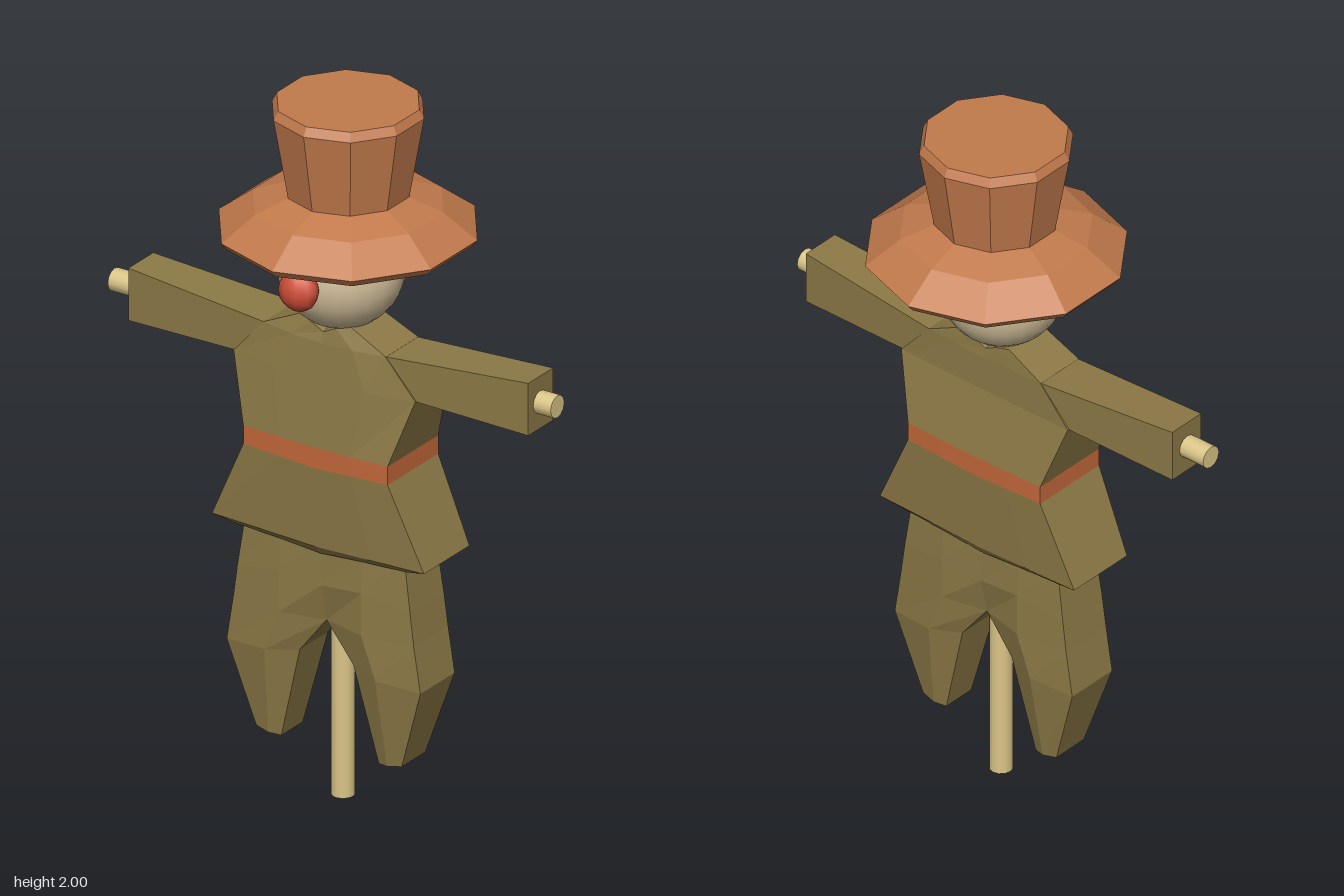
import * as THREE from 'three';

const mat = (name, color) => {
  const m = new THREE.MeshStandardMaterial({ color });
  m.name = name;
  return m;
};

// Flat-faced skin over a stack of rings ([x, y, z] points, counterclockwise seen from the last ring)
function loft(rings, capStart = true, capEnd = true) {
  const pos = [];
  const n = rings[0].length;
  const tri = (...pts) => pts.forEach((p) => pos.push(...p));
  for (let i = 0; i < rings.length - 1; i++) {
    for (let j = 0; j < n; j++) {
      const k = (j + 1) % n;
      const [a, b, c, d] = [rings[i][j], rings[i][k], rings[i + 1][k], rings[i + 1][j]];
      tri(a, b, c);
      tri(a, c, d);
    }
  }
  const cap = (ring, flip) => {
    const mid = [0, 1, 2].map((q) => ring.reduce((s, p) => s + p[q], 0) / n);
    ring.forEach((p, j) => {
      const next = ring[(j + 1) % n];
      if (flip) tri(mid, next, p);
      else tri(mid, p, next);
    });
  };
  if (capStart) cap(rings[0], true);
  if (capEnd) cap(rings[rings.length - 1], false);
  const g = new THREE.BufferGeometry();
  g.setAttribute('position', new THREE.Float32BufferAttribute(pos, 3));
  g.computeVertexNormals();
  return g;
}

// Mirror rings to the -x side, keeping the faces outward
const mirror = (rings) => rings.map((r) => r.map(([x, y, z]) => [-x, y, z]).reverse());

// Coat cross-section: half width, height at side and middle, depth at corners, front and back
function coatRing(w, ySide, yMid, zSide, zFront, zBack) {
  const yHalf = (ySide * 2 + yMid) / 3;
  return [
    [-w, ySide, zSide], [-w / 2, yHalf, zFront], [0, yMid, zFront], [w / 2, yHalf, zFront], [w, ySide, zSide],
    [w, ySide, -zSide], [w / 2, yHalf, -zBack], [0, yMid, -zBack], [-w / 2, yHalf, -zBack], [-w, ySide, -zSide],
  ];
}

// Trouser leg cross-section from inner, middle and outer [x, y, half depth]
function legRing(inner, mid, outer) {
  const front = [inner, mid, outer];
  return [
    ...front.map(([x, y, z]) => [x, y, z]),
    ...front.reverse().map(([x, y, z]) => [x, y, -z]),
  ];
}

const sleeveRing = (x, y0, y1, z) => [[x, y0, z], [x, y0, -z], [x, y1, -z], [x, y1, z]];

export function createModel() {
  const cloth = mat('olive cloth', 0x8c7946);
  const felt = mat('brown felt', 0xc27a4c);
  const belt = mat('orange belt', 0xc3683a);
  const wood = mat('pale wood', 0xdcc688);
  const sack = mat('sackcloth', 0xd4c19c);
  const red = mat('red nose', 0xcf4f38);

  const model = new THREE.Group();
  model.name = 'scarecrow';
  const clothes = new THREE.Group();
  clothes.name = 'clothes';
  clothes.position.set(0.01, 0, 0.012);
  model.add(clothes);

  const add = (name, geometry, material, parent = model) => {
    const m = new THREE.Mesh(geometry, material);
    m.name = name;
    parent.add(m);
    return m;
  };

  // Wooden cross
  add('pole', new THREE.CylinderGeometry(0.032, 0.032, 1.3, 12), wood).position.set(0.013, 0.65, 0.006);
  const bar = add('crossbar', new THREE.CylinderGeometry(0.032, 0.032, 1.4, 12), wood);
  bar.rotation.z = Math.PI / 2;
  bar.position.set(-0.003, 1.3, 0.015);

  // Coat: skirt, belt band and chest share their rings
  const waistLow = coatRing(0.228, 0.997, 0.988, 0.118, 0.123, 0.12);
  const waistHigh = coatRing(0.228, 1.05, 1.048, 0.118, 0.123, 0.12);
  add('coatSkirt', loft([
    coatRing(0.267, 0.745, 0.73, 0.09, 0.092, 0.092),
    coatRing(0.335, 0.764, 0.755, 0.106, 0.11, 0.107),
    waistLow,
  ], true, false), cloth, clothes);
  add('belt', loft([waistLow, waistHigh], false, false), belt, clothes);
  add('coatChest', loft([
    waistHigh,
    coatRing(0.287, 1.236, 1.236, 0.076, 0.102, 0.078),
    coatRing(0.193, 1.342, 1.335, 0.076, 0.09, 0.076),
    coatRing(0.08, 1.395, 1.365, 0.07, 0.08, 0.072),
  ], false, true), cloth, clothes);

  // Sleeves and trouser legs, mirrored
  const sleeve = [
    sleeveRing(0.185, 1.238, 1.341, 0.075),
    sleeveRing(0.632, 1.223, 1.374, 0.058),
  ];
  const leg = [
    legRing([0.154, 0.148, 0.05], [0.188, 0.153, 0.062], [0.23, 0.16, 0.055]),
    legRing([0.085, 0.42, 0.066], [0.175, 0.41, 0.098], [0.306, 0.4, 0.08]),
    legRing([0, 0.528, 0.066], [0.13, 0.53, 0.098], [0.285, 0.53, 0.08]),
    legRing([0, 0.637, 0.09], [0.13, 0.65, 0.096], [0.273, 0.62, 0.079]),
    legRing([0, 0.78, 0.086], [0.13, 0.78, 0.086], [0.25, 0.78, 0.074]),
  ];
  add('leftSleeve', loft(sleeve), cloth, clothes);
  add('rightSleeve', loft(mirror(sleeve)), cloth, clothes);
  add('leftTrouserLeg', loft(leg), cloth, clothes);
  add('rightTrouserLeg', loft(mirror(leg)), cloth, clothes);

  // Head and nose
  add('head', new THREE.SphereGeometry(0.171, 24, 16), sack).position.set(0.016, 1.534, 0.016);
  const nose = add('nose', new THREE.SphereGeometry(0.058, 10, 8), red);
  nose.scale.z = 0.78;
  nose.position.set(0.016, 1.535, 0.217);

  // Ten-sided hat
  const profile = [
    [0, 1.622], [0.335, 1.622], [0.352, 1.643], [0.259, 1.712], [0.167, 1.745],
    [0.207, 1.975], [0.194, 2], [0, 2],
  ].map(([r, y]) => new THREE.Vector2(r, y));
  const hat = new THREE.LatheGeometry(profile, 10).toNonIndexed();
  hat.computeVertexNormals();
  add('hat', hat, felt).position.set(0.025, 0, 0);

  return model;
}
